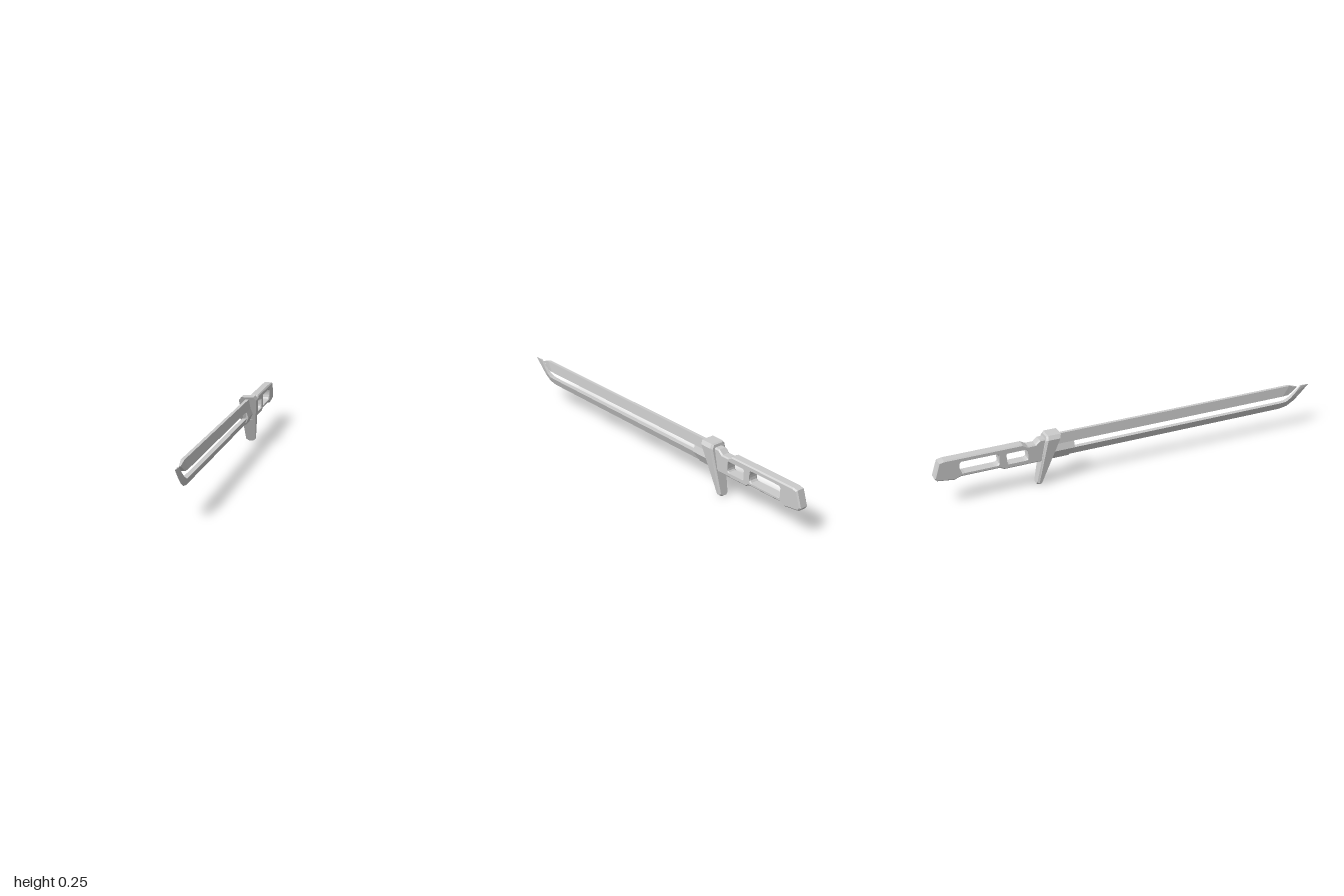
import * as THREE from 'three';

const material = new THREE.MeshStandardMaterial({ color: 0xcccccc, flatShading: true });

function addMesh(group, name, geometry) {
  const mesh = new THREE.Mesh(geometry, material);
  mesh.name = name;
  group.add(mesh);
}

// Skin convex rings of [x, y, z], listed back to front, each counter-clockwise seen from +z
function loft(rings) {
  const pos = [];
  const tri = (a, b, c) => pos.push(...a, ...b, ...c);
  const n = rings[0].length;
  for (let i = 0; i < rings.length - 1; i++) {
    for (let j = 0; j < n; j++) {
      const k = (j + 1) % n;
      const [a, b, c, d] = [rings[i][j], rings[i][k], rings[i + 1][k], rings[i + 1][j]];
      tri(a, b, c);
      tri(a, c, d);
    }
  }
  const back = rings[0], front = rings[rings.length - 1];
  for (let j = 1; j < n - 1; j++) {
    tri(back[0], back[j + 1], back[j]);
    tri(front[0], front[j], front[j + 1]);
  }
  const geometry = new THREE.BufferGeometry();
  geometry.setAttribute('position', new THREE.Float32BufferAttribute(pos, 3));
  geometry.computeVertexNormals();
  return geometry;
}

// Blade section: lower edge (z, y, half width) and upper edge (z, y, half width)
const bladeRing = ([zb, yb, wb], [zt, yt, wt]) =>
  [[-wb, yb, zb], [wb, yb, zb], [wt, yt, zt], [-wt, yt, zt]];

// Rounded rectangular opening
function opening(z0, z1, y0, y1, r) {
  const p = new THREE.Path();
  p.moveTo(z0 + r, y0);
  p.lineTo(z1 - r, y0);
  p.quadraticCurveTo(z1, y0, z1, y0 + r);
  p.lineTo(z1, y1 - r);
  p.quadraticCurveTo(z1, y1, z1 - r, y1);
  p.lineTo(z0 + r, y1);
  p.quadraticCurveTo(z0, y1, z0, y1 - r);
  p.lineTo(z0, y0 + r);
  p.quadraticCurveTo(z0, y0, z0 + r, y0);
  return p;
}

// Handle: bevelled side outline with two straight-walled openings
function gripGeometry() {
  const outline = [
    [-0.44, 0.123], [-0.44, 0.236], [-0.49, 0.236], [-0.512, 0.217], [-0.55, 0.217],
    [-0.575, 0.231], [-0.95, 0.231], [-0.975, 0.226], [-1, 0.15], [-0.988, 0.134], [-0.907, 0.123],
    [-0.875, 0.134], [-0.69, 0.134], [-0.667, 0.123],
  ];
  const shape = new THREE.Shape(outline.map(([z, y]) => new THREE.Vector2(z, y)));
  const holes = [[-0.655, -0.55, 0.145, 0.202, 0.018], [-0.88, -0.69, 0.149, 0.21, 0.024]];
  holes.forEach(h => shape.holes.push(opening(...h)));
  const bevel = 0.006;
  const geometry = new THREE.ExtrudeGeometry(shape, {
    depth: 0.036, curveSegments: 3, bevelEnabled: true, bevelSegments: 1,
    bevelSize: bevel, bevelThickness: bevel, bevelOffset: -bevel,
  });
  // Pull the bevelled rims of the openings back to straight walls
  const p = geometry.attributes.position, m = bevel + 0.0004;
  for (let i = 0; i < p.count; i++) {
    const x = p.getX(i), y = p.getY(i);
    for (const [z0, z1, y0, y1] of holes) {
      if (x > z0 - m && x < z1 + m && y > y0 - m && y < y1 + m) {
        p.setXY(i, THREE.MathUtils.clamp(x, z0, z1), THREE.MathUtils.clamp(y, y0, y1));
      }
    }
  }
  geometry.translate(0, 0, -0.018);
  geometry.rotateY(-Math.PI / 2);
  geometry.computeVertexNormals();
  return geometry;
}

// Guard: tapered plate leaning backward toward its foot, with a chamfered back
function guardGeometry() {
  const half = [[0.013, 0], [0.025, 0.01], [0.045, 0.235], [0.032, 0.253]];
  const plate = [...half, ...half.slice().reverse().map(([x, y]) => [-x, y])];
  const { lerp } = THREE.MathUtils;
  const frontZ = y => lerp(-0.492, -0.388, y / 0.253);
  const backZ = y => lerp(-0.512, -0.46, y / 0.253);
  return loft([
    plate.map(([x, y]) => [x * 0.8, lerp(0.13, y, 0.96), backZ(y)]),
    plate.map(([x, y]) => [x, y, backZ(y) + 0.009]),
    plate.map(([x, y]) => [x, y, frontZ(y)]),
  ]);
}

// Collar: kite-shaped sleeve at the blade root, its keel cut back at the front
function collarGeometry() {
  const kite = [[-0.002, 0.116], [0.002, 0.116], [0.0225, 0.16], [0.012, 0.192], [-0.012, 0.192], [-0.0225, 0.16]];
  return loft([
    kite.map(([x, y]) => [x, y, -0.46]),
    kite.map(([x, y]) => [x, y, y < 0.13 ? -0.342 : -0.315]),
  ]);
}

export function createModel() {
  const group = new THREE.Group();
  group.name = 'sword';

  // Upper blade: slim spine, wider at the slot, slanted tip
  addMesh(group, 'upperBlade', loft([
    bladeRing([-0.45, 0.192, 0.013], [-0.45, 0.242, 0.008]),
    bladeRing([0.84, 0.192, 0.013], [0.88, 0.242, 0.008]),
    bladeRing([0.877, 0.192, 0.009], [0.93, 0.226, 0.004]),
  ]));

  // Lower blade: sharp keel, sweeping up into a hooked point
  addMesh(group, 'lowerBlade', loft([
    bladeRing([-0.45, 0.12, 0.0005], [-0.45, 0.155, 0.012]),
    bladeRing([0.83, 0.12, 0.0005], [0.83, 0.155, 0.012]),
    bladeRing([0.875, 0.128, 0.0005], [0.862, 0.157, 0.012]),
    bladeRing([0.915, 0.15, 0.0005], [0.89, 0.171, 0.01]),
    bladeRing([0.95, 0.18, 0.0005], [0.92, 0.196, 0.007]),
    bladeRing([1, 0.228, 0.0003], [0.952, 0.228, 0.004]),
  ]));

  addMesh(group, 'collar', collarGeometry());
  addMesh(group, 'guard', guardGeometry());
  addMesh(group, 'grip', gripGeometry());
  return group;
}
